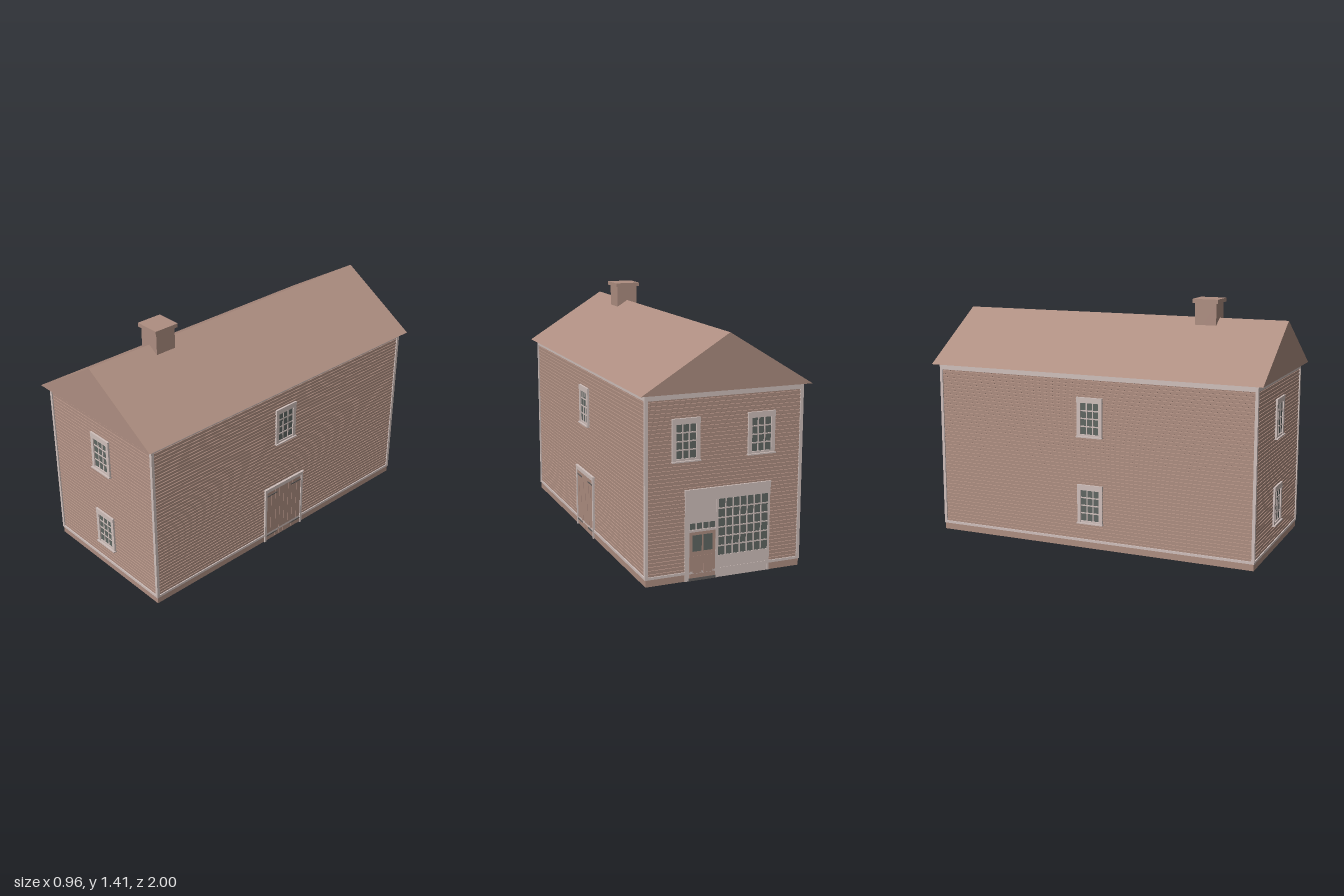
import * as THREE from 'three';

const mat = (name, color) => {
  const m = new THREE.MeshStandardMaterial({ color });
  m.name = name;
  return m;
};

export function createModel() {
  const brown = mat('weathered brown', 0xae8e81);
  const trim = mat('pale trim', 0xd0c0bc);
  const glass = mat('window glass', 0x5f6662);
  const iron = mat('dark iron', 0x625e5c);

  const house = new THREE.Group();
  house.name = 'house';

  const add = (parent, name, geometry, material) => {
    const mesh = new THREE.Mesh(geometry, material);
    mesh.name = name;
    parent.add(mesh);
    return mesh;
  };
  // Box given by its limits on each axis
  const box = (parent, name, material, x0, x1, y0, y1, z0, z1) => {
    const mesh = add(parent, name, new THREE.BoxGeometry(x1 - x0, y1 - y0, z1 - z0), material);
    mesh.position.set((x0 + x1) / 2, (y0 + y1) / 2, (z0 + z1) / 2);
    return mesh;
  };
  // Hollow rectangular band running round the house
  const rectangle = (path, x, z) =>
    path.moveTo(-x, -z).lineTo(x, -z).lineTo(x, z).lineTo(-x, z).closePath();
  const band = (name, material, x, z, thickness, y0, y1) => {
    const shape = new THREE.Shape();
    const hole = new THREE.Path();
    rectangle(shape, x, z);
    rectangle(hole, x - thickness, z - thickness);
    shape.holes.push(hole);
    const geometry = new THREE.ExtrudeGeometry(shape, { depth: y1 - y0, bevelEnabled: false });
    geometry.rotateX(-Math.PI / 2).translate(0, y0, 0);
    return add(house, name, geometry, material);
  };

  const W = 0.447, D = 0.967;          // outer faces of the trim
  const wallX = 0.441, wallZ = 0.961;  // outer faces of the clapboards

  // Open-bottomed wall shell, foundation, water table and frieze
  band('wallShell', brown, 0.437, 0.957, 0.008, 0, 1.006);
  band('foundation', brown, 0.443, 0.963, 0.008, 0, 0.038);
  band('waterTable', trim, W, D, 0.012, 0.038, 0.052);
  band('frieze', trim, W, D, 0.012, 0.974, 1.008);

  // Corner boards
  for (const sx of [-1, 1]) for (const sz of [-1, 1]) {
    const corner = add(house, 'cornerBoard', new THREE.BoxGeometry(0.017, 0.923, 0.017), trim);
    corner.position.set(sx * (W - 0.0085), 0.5135, sz * (D - 0.0085));
  }

  // Gable roof
  const gable = new THREE.Shape();
  gable.moveTo(-0.479, 1.006);
  gable.lineTo(0.479, 1.006);
  gable.lineTo(0, 1.3);
  gable.closePath();
  const roof = new THREE.ExtrudeGeometry(gable, { depth: 2, bevelEnabled: false });
  roof.translate(0, 0, -1);
  add(house, 'roof', roof, brown);

  // Chimney
  box(house, 'chimney', brown, -0.063, 0.063, 1.2, 1.386, 0.477, 0.603);
  box(house, 'chimneyCap', brown, -0.075, 0.075, 1.385, 1.407, 0.465, 0.615);

  // A group lying on one wall: local x along it, y up, z outward
  const onWall = (name, angle) => {
    const group = new THREE.Group();
    const out = Math.abs(Math.sin(angle)) > 0.5 ? wallX : wallZ;
    group.name = name;
    group.rotation.y = angle;
    group.position.set(Math.sin(angle) * out, 0, Math.cos(angle) * out);
    house.add(group);
    return group;
  };
  const FRONT = 0, LEFT = Math.PI / 2, BACK = Math.PI, RIGHT = -Math.PI / 2;

  // Clapboards: flat boards with narrow grooves, extruded along each wall
  const boards = new THREE.Shape();
  boards.moveTo(-0.006, 0.05);
  for (let i = 0; i < 47; i++) {
    const y = 0.05 + i * 0.02;
    boards.lineTo(-0.0035, y);
    boards.lineTo(0, y + 0.001);
    boards.lineTo(0, y + 0.014);
    boards.lineTo(-0.0035, y + 0.015);
  }
  boards.lineTo(-0.006, 0.985);
  boards.closePath();
  for (const [angle, length] of [[FRONT, 0.87], [BACK, 0.87], [LEFT, 1.91], [RIGHT, 1.91]]) {
    const geometry = new THREE.ExtrudeGeometry(boards, { depth: length, bevelEnabled: false });
    geometry.translate(0, 0, -length / 2).rotateY(-Math.PI / 2);
    add(onWall('clapboardWall', angle), 'clapboards', geometry, brown);
  }

  // Glass with a grid of glazing bars
  const glazing = (g, x0, x1, y0, y1, cols, rows, z, bar) => {
    box(g, 'glass', glass, x0, x1, y0, y1, z, z + 0.002);
    for (let i = 1; i < cols; i++) {
      const x = x0 + (x1 - x0) * i / cols;
      box(g, 'glazingBar', trim, x - bar / 2, x + bar / 2, y0, y1, z, z + 0.005);
    }
    for (let j = 1; j < rows; j++) {
      const y = y0 + (y1 - y0) * j / rows;
      box(g, 'glazingBar', trim, x0, x1, y - bar / 2, y + bar / 2, z, z + 0.0045);
    }
  };

  // Sash window with casing and sill
  const sashWindow = (angle, x, y) => {
    const g = onWall('sashWindow', angle);
    for (const s of [-1, 1]) {
      const a = x + s * 0.056, b = x + s * 0.077;
      box(g, 'casing', trim, Math.min(a, b), Math.max(a, b), y, y + 0.22, -0.005, 0.01);
    }
    box(g, 'headCasing', trim, x - 0.078, x + 0.078, y + 0.193, y + 0.224, -0.005, 0.011);
    box(g, 'bottomRail', trim, x - 0.056, x + 0.056, y, y + 0.014, -0.005, 0.008);
    box(g, 'sill', trim, x - 0.08, x + 0.08, y - 0.004, y + 0.003, -0.005, 0.018);
    glazing(g, x - 0.056, x + 0.056, y + 0.014, y + 0.193, 3, 4, 0, 0.007);
  };
  const upper = 0.65, lower = 0.148;
  for (const y of [upper, lower]) {
    sashWindow(FRONT, 0, y);
    sashWindow(RIGHT, 0, y);
  }
  sashWindow(LEFT, 0, upper);
  sashWindow(BACK, -0.222, upper);
  sashWindow(BACK, 0.204, upper);

  // Double plank door on the left side
  const barn = onWall('plankDoor', LEFT);
  box(barn, 'doorBacking', brown, -0.142, 0.142, 0.005, 0.35, -0.005, 0.004);
  for (const s of [-1, 1]) {
    const span = (name, m, a, b, y0, y1, z1) =>
      box(barn, name, m, Math.min(s * a, s * b), Math.max(s * a, s * b), y0, y1, -0.005, z1);
    span('doorCasing', trim, 0.14, 0.154, 0, 0.362, 0.011);
    const seams = [0, 0.035, 0.068, 0.104, 0.14];
    for (let i = 0; i < 4; i++) {
      span('plank', brown, seams[i] + 0.001, seams[i + 1] - 0.001, 0.008, 0.345, 0.006);
    }
    for (const y of [0.033, 0.314]) span('hingeStrap', iron, 0.055, 0.138, y, y + 0.007, 0.009);
  }
  box(barn, 'doorHead', trim, -0.154, 0.154, 0.345, 0.364, -0.005, 0.011);
  box(barn, 'doorCap', trim, -0.158, 0.158, 0.364, 0.371, -0.005, 0.014);

  // Shopfront on the back
  const shop = onWall('shopfront', BACK);
  box(shop, 'shopPanel', trim, -0.225, 0.263, 0, 0.49, -0.005, 0.004);
  box(shop, 'shopHeader', trim, -0.227, 0.265, 0.46, 0.495, -0.005, 0.01);
  for (const [x0, x1] of [[-0.225, -0.203], [-0.05, -0.036], [0.25, 0.263]]) {
    box(shop, 'shopPilaster', trim, x0, x1, 0, 0.46, 0, 0.006);
  }
  glazing(shop, -0.036, 0.25, 0.122, 0.428, 7, 6, 0.003, 0.007);
  box(shop, 'displaySill', trim, -0.036, 0.25, 0.114, 0.122, 0, 0.008);

  // Shop door with transom and two lights
  box(shop, 'shopDoor', brown, -0.2, -0.053, 0.015, 0.265, 0, 0.006);
  box(shop, 'threshold', iron, -0.203, -0.05, 0, 0.015, 0, 0.008);
  glazing(shop, -0.198, -0.055, 0.28, 0.312, 4, 1, 0.003, 0.006);
  box(shop, 'transomBar', trim, -0.203, -0.05, 0.265, 0.277, 0, 0.007);
  for (const x of [-0.183, -0.121]) {
    box(shop, 'doorLight', glass, x, x + 0.052, 0.16, 0.248, 0.004, 0.007);
    box(shop, 'doorPanel', brown, x, x + 0.052, 0.04, 0.135, 0.004, 0.0075);
  }

  return house;
}
